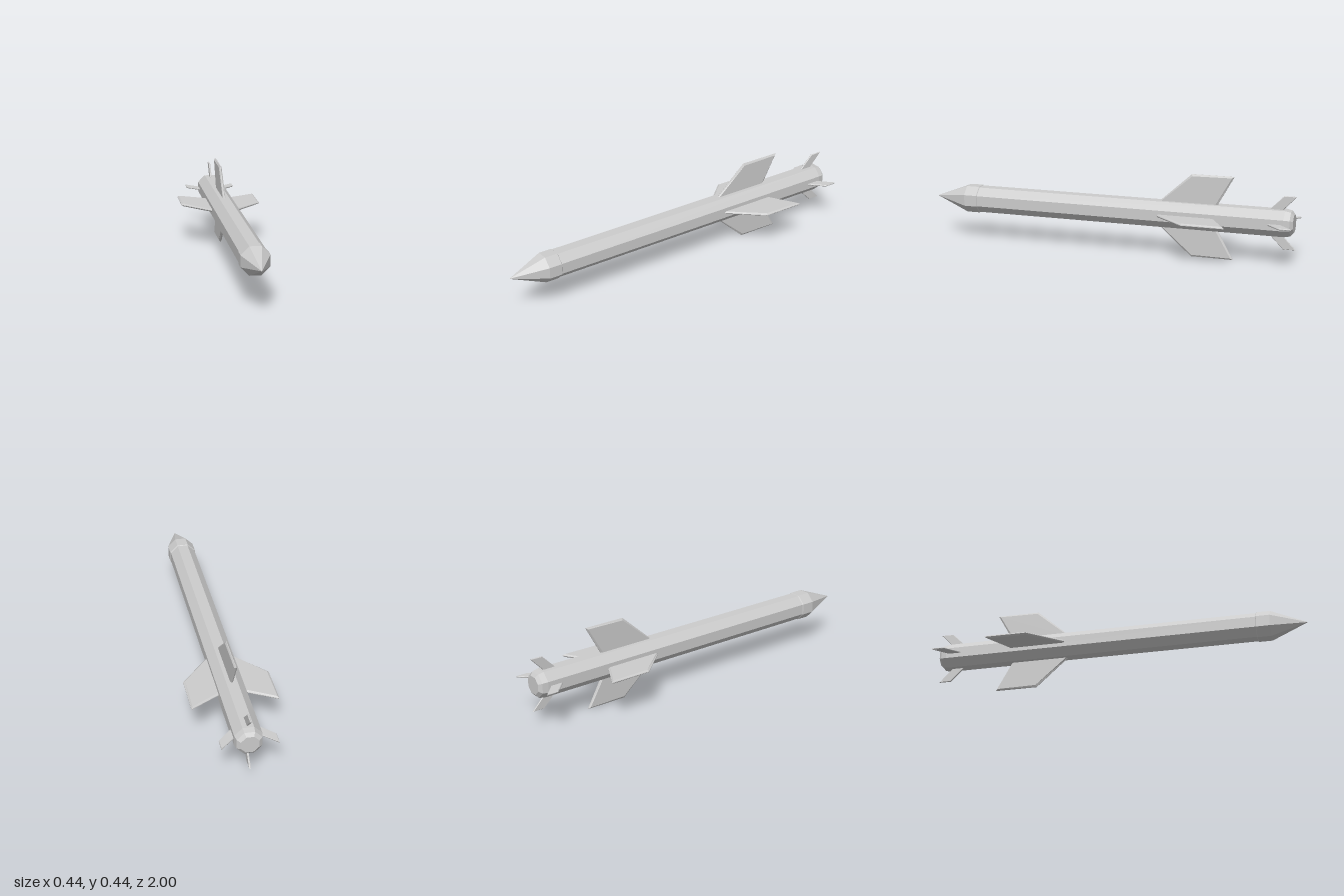
import * as THREE from 'three';

const material = new THREE.MeshStandardMaterial({ color: 0xcccccc, flatShading: true });
const SIDES = 8;
const AXIS_Y = 0.22;

// Eight-sided solid of revolution along z; profile is [apothem, z] from back to front
function turned(name, profile) {
  const points = profile.map(([r, z]) => new THREE.Vector2(r / Math.cos(Math.PI / SIDES), z));
  const geometry = new THREE.LatheGeometry(points, SIDES, Math.PI / SIDES);
  geometry.rotateX(Math.PI / 2);
  const mesh = new THREE.Mesh(geometry, material);
  mesh.name = name;
  return mesh;
}

// Flat fin with bevelled edges; outline is [radius, z], thickness along y
function finGeometry(outline, thickness, bevel) {
  const shape = new THREE.Shape(outline.map(([r, z]) => new THREE.Vector2(r, z)));
  const core = thickness * 0.2;
  const geometry = new THREE.ExtrudeGeometry(shape, {
    depth: core,
    bevelEnabled: true,
    bevelSegments: 1,
    bevelThickness: (thickness - core) / 2,
    bevelSize: bevel,
    bevelOffset: -bevel,
  });
  geometry.translate(0, 0, -core / 2);
  geometry.rotateX(Math.PI / 2);
  return geometry;
}

// Four copies of a fin around the body
function finSet(name, geometry) {
  const set = new THREE.Group();
  set.name = name + 's';
  for (let i = 0; i < 4; i++) {
    const fin = new THREE.Mesh(geometry, material);
    fin.name = name;
    fin.rotation.z = (i * Math.PI) / 2;
    set.add(fin);
  }
  return set;
}

export function createModel() {
  const model = new THREE.Group();
  model.name = 'missile';
  const assembly = new THREE.Group();
  assembly.name = 'missileAssembly';
  assembly.position.y = AXIS_Y;
  model.add(assembly);

  // Long tube with a chamfered tail
  assembly.add(turned('body', [
    [0, -0.99], [0.045, -0.99], [0.062, -0.975], [0.068, -0.945], [0.068, 0.74],
  ]));

  // Slightly wider collar running into the pointed nose
  assembly.add(turned('nose', [
    [0.066, 0.735], [0.0715, 0.74], [0.0715, 0.81], [0, 1],
  ]));

  // Large swept wings, roots buried in the body
  assembly.add(finSet('wing', finGeometry(
    [[0.05, -0.26], [0.05, -0.58], [0.22, -0.675], [0.22, -0.45]], 0.016, 0.01)));

  // Small swept tail fins
  assembly.add(finSet('tailFin', finGeometry(
    [[0.05, -0.845], [0.05, -0.915], [0.14, -1], [0.14, -0.935]], 0.009, 0.003)));

  return model;
}
